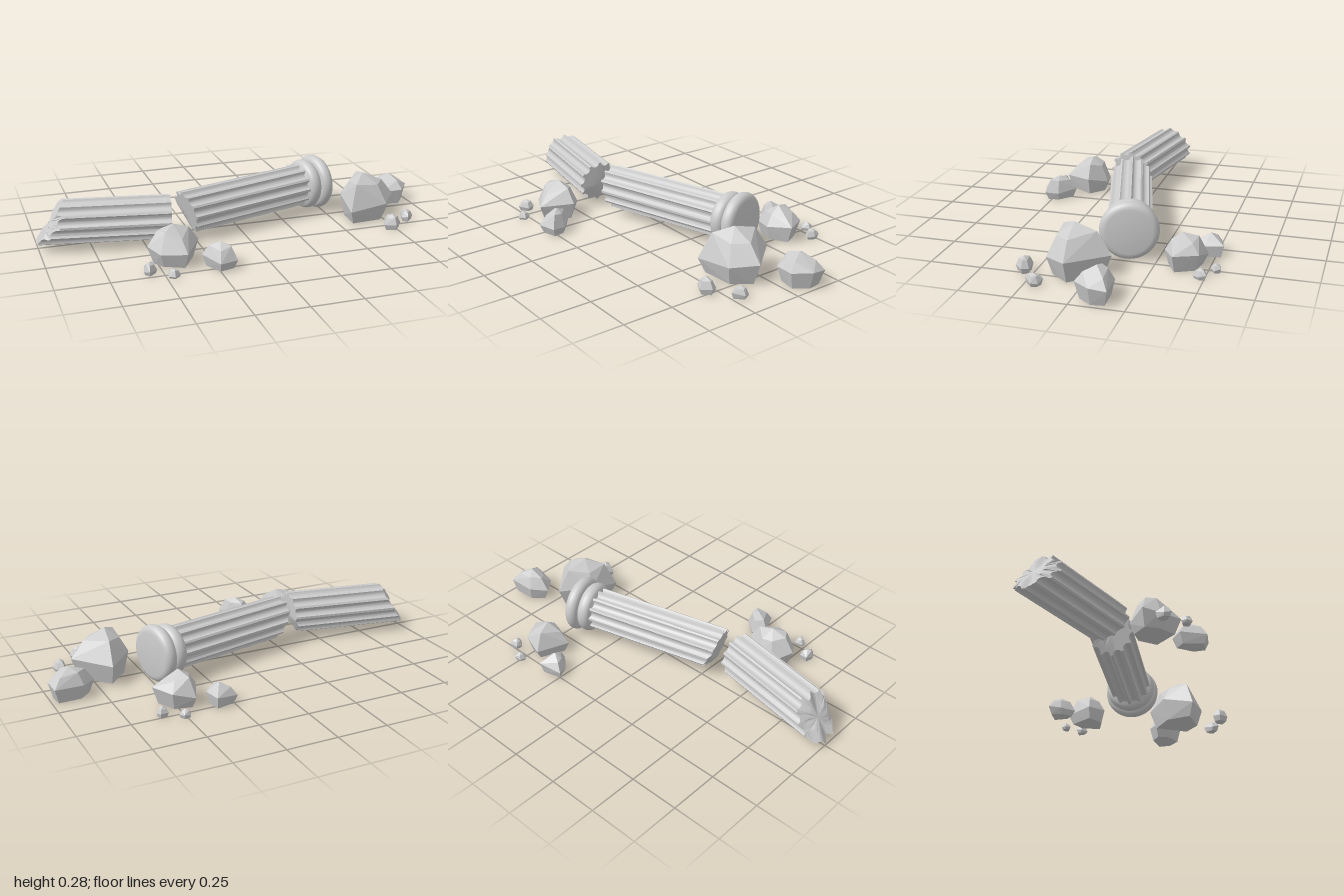
import * as THREE from 'three';
import { toCreasedNormals } from 'three/addons/utils/BufferGeometryUtils.js';
import { ConvexGeometry } from 'three/addons/geometries/ConvexGeometry.js';

const stone = new THREE.MeshStandardMaterial({ color: 0xcccccc });
const roughStone = new THREE.MeshStandardMaterial({ color: 0xcccccc, flatShading: true });

// Small seeded generator, so the rubble is always the same
function seeded(seed) {
  return () => {
    seed = (seed * 16807) % 2147483647;
    return seed / 2147483647;
  };
}

function addMesh(parent, name, geometry, material) {
  const mesh = new THREE.Mesh(geometry, material);
  mesh.name = name;
  parent.add(mesh);
  return mesh;
}

// Fluted drum along local x; startCut and endCut give x of the broken faces at (y, z)
function flutedShaft(radius, startCut, endCut) {
  const flutes = 12, depth = 0.017;
  const flute = [[0, 0], [0.2, 0], [0.3, 0.65], [0.45, 0.95], [0.6, 1], [0.75, 0.95], [0.9, 0.65]];
  const outline = [];
  for (let i = 0; i < flutes; i++) {
    for (const [u, d] of flute) {
      const a = ((i + u - 0.1) / flutes) * Math.PI * 2, r = radius - depth * d;
      outline.push([Math.cos(a) * r, Math.sin(a) * r]);
    }
  }
  const n = outline.length;
  const loops = [[startCut, 0], [startCut, 0.55], [startCut, 1], [endCut, 1], [endCut, 0.55], [endCut, 0]];
  const positions = [], index = [];
  for (const [cut, s] of loops) {
    for (const [y, z] of outline) positions.push(cut(y * s, z * s), y * s, z * s);
  }
  for (let i = 0; i < loops.length - 1; i++) {
    for (let j = 0; j < n; j++) {
      const a = i * n + j, b = i * n + ((j + 1) % n);
      if (i > 0) index.push(a, b, a + n);
      if (i < loops.length - 2) index.push(a + n, b, b + n);
    }
  }
  const geometry = new THREE.BufferGeometry();
  geometry.setAttribute('position', new THREE.Float32BufferAttribute(positions, 3));
  geometry.setIndex(index);
  return toCreasedNormals(geometry, 0.6);
}

// Two rounded mouldings with a closed end, turned about local x
function mouldings() {
  const profile = [new THREE.Vector2(0.09, 0.69)];
  for (const [x, r, half, bulge] of [[0.73, 0.1, 0.034, 0.028], [0.797, 0.108, 0.033, 0.032]]) {
    for (let i = 0; i <= 8; i++) {
      const a = (i / 8) * Math.PI;
      profile.push(new THREE.Vector2(r + Math.sin(a) * bulge, x - Math.cos(a) * half));
    }
  }
  profile.push(new THREE.Vector2(0, 0.83));
  return toCreasedNormals(new THREE.LatheGeometry(profile, 40).rotateZ(-Math.PI / 2), 0.7);
}

// Faceted boulder: plan outline [x, z], narrowed to a base and to a peak [x, height, z]
function boulder(outline, [px, h, pz], seed) {
  const random = seeded(seed);
  const points = [new THREE.Vector3(px, h, pz)];
  const ring = (scale, y, spread) => {
    for (const [x, z] of outline) {
      points.push(new THREE.Vector3(px + (x - px) * scale, h * (y + (random() - 0.5) * spread), pz + (z - pz) * scale));
    }
  };
  ring(0.78, 0, 0);
  ring(1, 0.42, 0.3);
  ring(0.62, 0.8, 0.18);
  return new ConvexGeometry(points.map((p) => p.setY(Math.max(p.y, 0.003))));
}

// Uneven five-sided plan for the small chips
function chipOutline(x, z, rx, rz, seed) {
  const random = seeded(seed);
  return Array.from({ length: 5 }, (_, i) => {
    const a = ((i + random() * 0.5) / 5) * Math.PI * 2, s = 0.9 + random() * 0.2;
    return [x + Math.cos(a) * rx * s, z + Math.sin(a) * rz * s];
  });
}

export function createModel() {
  const model = new THREE.Group();

  // Long column piece with its end mouldings
  const longPiece = new THREE.Group();
  longPiece.name = 'longColumnPiece';
  longPiece.position.set(-0.295, 0.135, 0.085);
  longPiece.rotation.set(0, 0.262, 0.016);
  addMesh(longPiece, 'longShaft', flutedShaft(0.107,
    (y, z) => 0.012 - 0.22 * y + 0.3 * Math.max(0, -y - z - 0.06),
    () => 0.72), stone);
  addMesh(longPiece, 'endMouldings', mouldings(), stone);
  model.add(longPiece);

  // Short column piece, broken off at both ends
  const shortPiece = new THREE.Group();
  shortPiece.name = 'shortColumnPiece';
  shortPiece.position.set(-0.375, 0.135, 0.115);
  shortPiece.rotation.y = -0.183;
  addMesh(shortPiece, 'shortShaft', flutedShaft(0.109,
    (y, z) => -0.575 + 0.6 * y + 0.6 * Math.max(0, z - 0.04) + 0.5 * Math.max(0, -z - 0.06) + 0.012 * Math.sin(70 * z),
    (y, z) => 0.005 + 0.55 * Math.min(0, y + 0.02) + 0.15 * Math.min(0, z)), stone);
  model.add(shortPiece);

  // Boulders: plan outline and peak
  const boulders = [
    [[[0.55, 0.2], [0.56, 0.03], [0.685, -0.1], [0.835, 0.075], [0.75, 0.185]], [0.66, 0.24, 0.08]],
    [[[0.78, -0.1], [0.85, -0.165], [0.99, -0.17], [1, -0.09], [0.94, -0.01], [0.83, -0.03]], [0.9, 0.155, -0.1]],
    [[[0.365, -0.33], [0.43, -0.485], [0.535, -0.46], [0.59, -0.35], [0.48, -0.29]], [0.47, 0.165, -0.37]],
    [[[0.235, -0.51], [0.35, -0.54], [0.365, -0.45], [0.325, -0.395], [0.26, -0.45]], [0.31, 0.11, -0.47]],
    [[[-0.545, 0.35], [-0.48, 0.26], [-0.39, 0.25], [-0.295, 0.33], [-0.385, 0.475], [-0.5, 0.42]], [-0.42, 0.185, 0.34]],
    [[[-0.31, 0.44], [-0.26, 0.385], [-0.175, 0.46], [-0.165, 0.53], [-0.255, 0.555]], [-0.23, 0.125, 0.47]],
  ];
  boulders.forEach(([outline, peak], i) => {
    addMesh(model, `boulder${i + 1}`, boulder(outline, peak, 101 + i * 37), roughStone);
  });

  // Chips: x, z, half width, half depth, height
  const chips = [
    [0.73, 0.295, 0.05, 0.04, 0.08],
    [0.855, 0.205, 0.034, 0.045, 0.06],
    [0.505, -0.535, 0.031, 0.026, 0.045],
    [0.595, -0.483, 0.03, 0.034, 0.055],
    [-0.562, 0.455, 0.033, 0.041, 0.06],
    [-0.467, 0.527, 0.033, 0.028, 0.045],
  ];
  chips.forEach(([x, z, rx, rz, h], i) => {
    const seed = 5003 + i * 7919;
    addMesh(model, `chip${i + 1}`, boulder(chipOutline(x, z, rx, rz, seed), [x, h, z], seed), roughStone);
  });

  return model;
}
